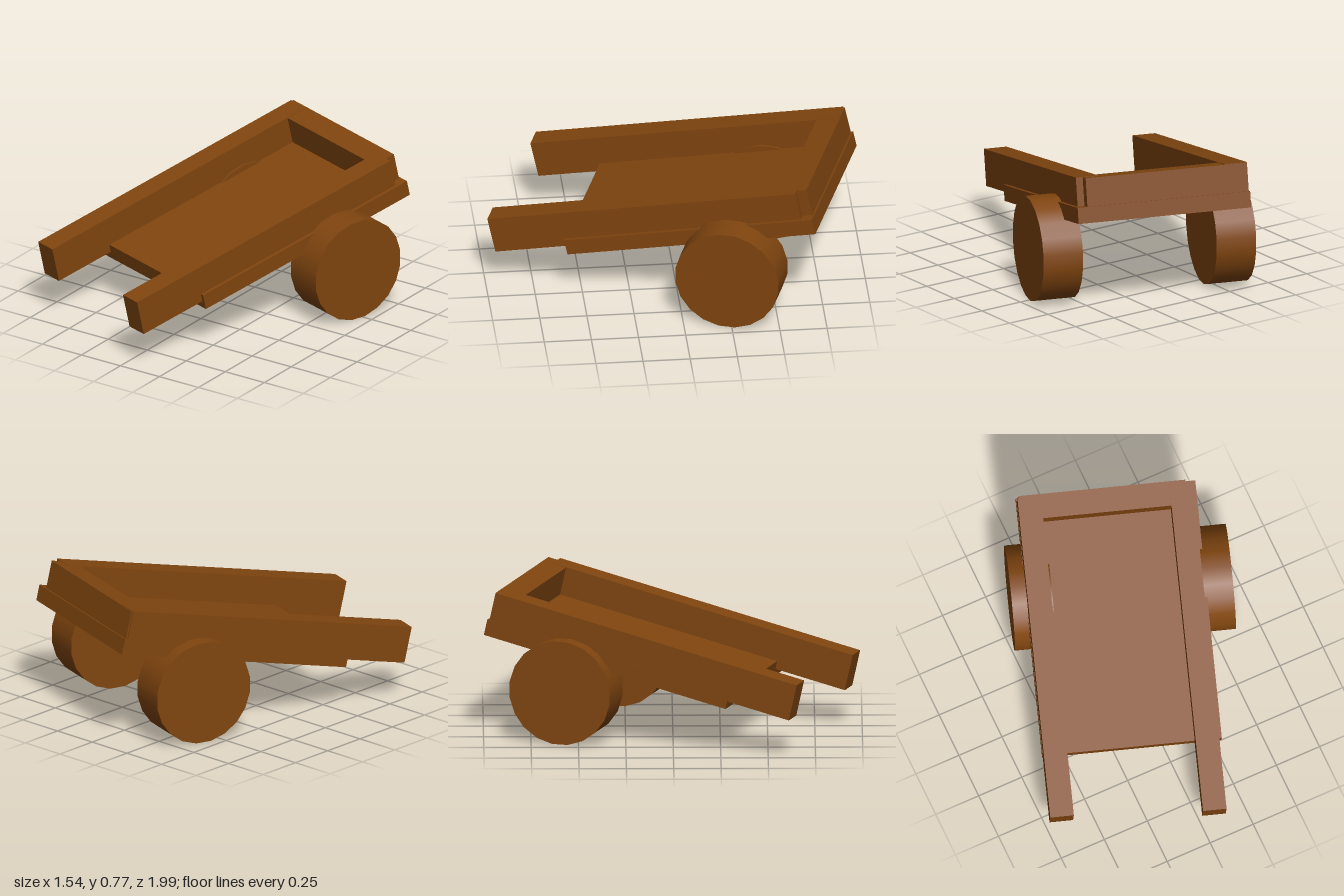
import * as THREE from 'three';

const wood = new THREE.MeshStandardMaterial({ color: 0x80450f });

// Box given by its [min, max] extents on each axis
function plank(name, [x0, x1], [y0, y1], [z0, z1]) {
  const mesh = new THREE.Mesh(new THREE.BoxGeometry(x1 - x0, y1 - y0, z1 - z0), wood);
  mesh.name = name;
  mesh.position.set((x0 + x1) / 2, (y0 + y1) / 2, (z0 + z1) / 2);
  return mesh;
}

// Solid wheel with its axle along x
function wheel(name, x) {
  const geometry = new THREE.CylinderGeometry(0.281, 0.281, 0.218, 20);
  geometry.rotateY(Math.PI / 20).rotateZ(Math.PI / 2);
  const mesh = new THREE.Mesh(geometry, wood);
  mesh.name = name;
  mesh.position.set(x, 0.278, -0.43);
  return mesh;
}

export function createModel() {
  const model = new THREE.Group();
  model.name = 'handcart';

  // The whole cart is turned slightly to one side
  const cart = new THREE.Group();
  cart.name = 'cart';
  cart.rotation.y = -0.326;
  model.add(cart);

  // The body leans forward, resting its handles low
  const body = new THREE.Group();
  body.name = 'body';
  body.rotation.x = 0.2225;
  cart.add(body);

  const railHeight = [0.379, 0.577];
  body.add(
    plank('bed', [-0.521, 0.431], [0.337, 0.423], [-0.976, 0.402]),
    plank('leftRail', [0.287, 0.412], railHeight, [-0.912, 0.798]),
    plank('rightRail', [-0.519, -0.394], railHeight, [-0.957, 0.753]),
    plank('backBoard', [-0.512, 0.374], [0.379, 0.575], [-0.966, -0.836]),
  );

  // Wheels stand upright beneath the body
  cart.add(wheel('leftWheel', 0.464), wheel('rightWheel', -0.491));
  return model;
}
